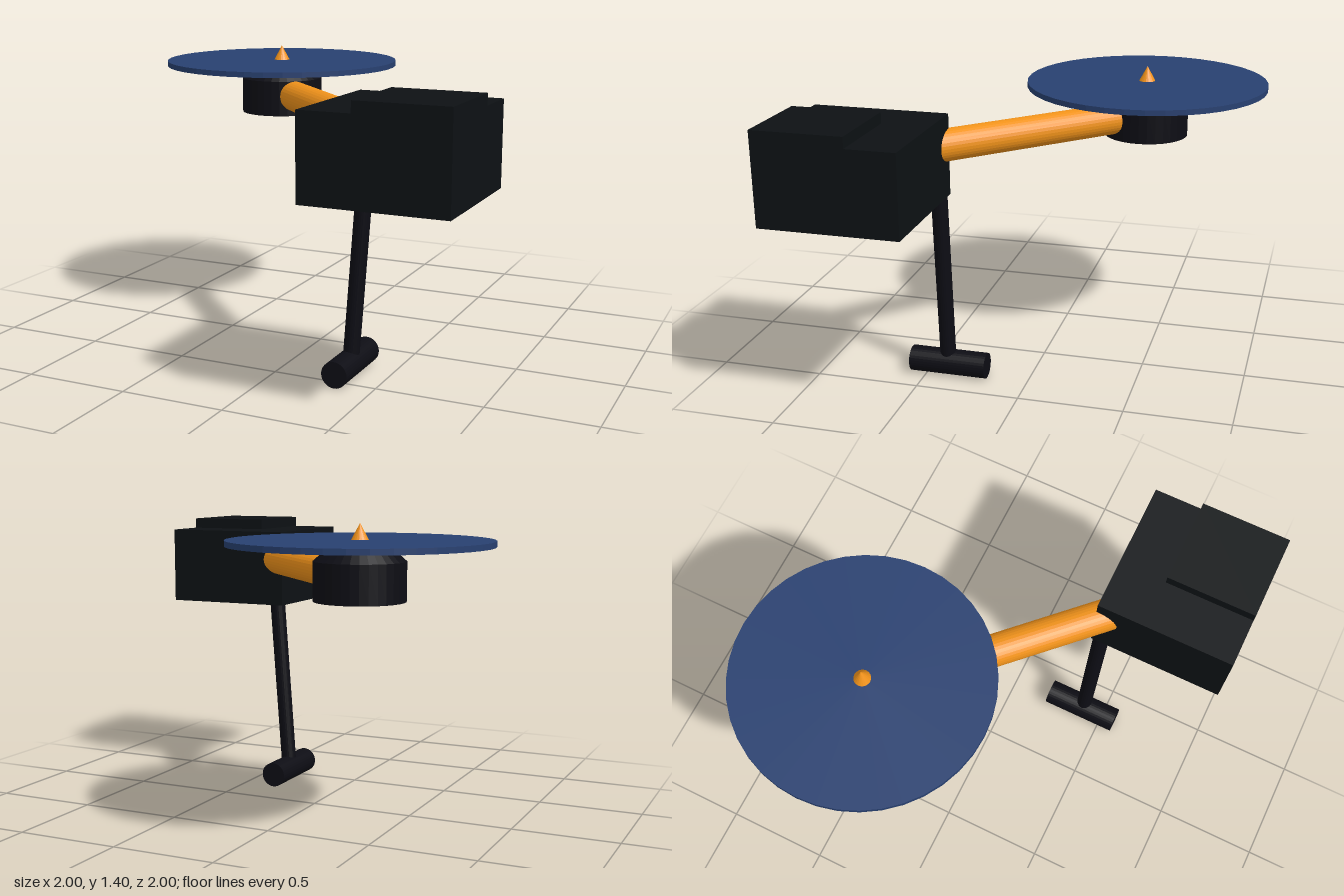
import * as THREE from 'three';

const mat = (color) => new THREE.MeshStandardMaterial({ color, flatShading: true });
const bodyMat = mat(0x0d1114);
const darkMat = mat(0x0d0d14);
const orangeMat = mat(0xf0921a);
const blueMat = mat(0x284070);

export function createModel() {
  const model = new THREE.Group();

  const add = (name, geometry, material, x = 0, y = 0, z = 0) => {
    const mesh = new THREE.Mesh(geometry, material);
    mesh.name = name;
    mesh.position.set(x, y, z);
    model.add(mesh);
    return mesh;
  };

  // Round bar between two points
  const rod = (name, a, b, radius, material, sides = 32) => {
    const dir = b.clone().sub(a);
    const mesh = add(name, new THREE.CylinderGeometry(radius, radius, dir.length(), sides), material);
    mesh.position.copy(a).add(b).multiplyScalar(0.5);
    mesh.quaternion.setFromUnitVectors(new THREE.Vector3(0, 1, 0), dir.normalize());
    return mesh;
  };
  const v = (x, y, z) => new THREE.Vector3(x, y, z);

  // Body block with a raised hatch in its outer front corner
  add('body', new THREE.BoxGeometry(0.646, 0.38, 0.646), bodyMat, 0.677, 1.119, 0.677);
  add('hatch', new THREE.BoxGeometry(0.41, 0.06, 0.42), bodyMat, 0.795, 1.33, 0.79);

  // Diagonal arm running from the body corner to the motor
  rod('arm', v(0.5, 1.165, 0.5), v(-0.277, 1.165, -0.277), 0.075, orangeMat);

  // Motor housing with a tapered shoulder
  const c = -0.413;
  const profile = [[0, 1.065], [0.205, 1.065], [0.205, 1.24], [0.125, 1.31], [0, 1.31]];
  add('motor', new THREE.LatheGeometry(profile.map(([r, y]) => new THREE.Vector2(r, y)), 32), darkMat, c, 0, c);

  // Rotor disc and spinner
  add('rotorDisc', new THREE.CylinderGeometry(0.587, 0.587, 0.026, 40), blueMat, c, 1.319, c);
  add('spinner', new THREE.ConeGeometry(0.042, 0.078, 20), orangeMat, c, 1.365, c);

  // Slanted landing leg and its foot bar
  rod('leg', v(0.4, 0.96, 0.393), v(0.333, 0.06, 0.393), 0.038, darkMat, 24);
  rod('foot', v(0.331, 0.062, 0.2), v(0.331, 0.062, 0.576), 0.062, darkMat);

  return model;
}
